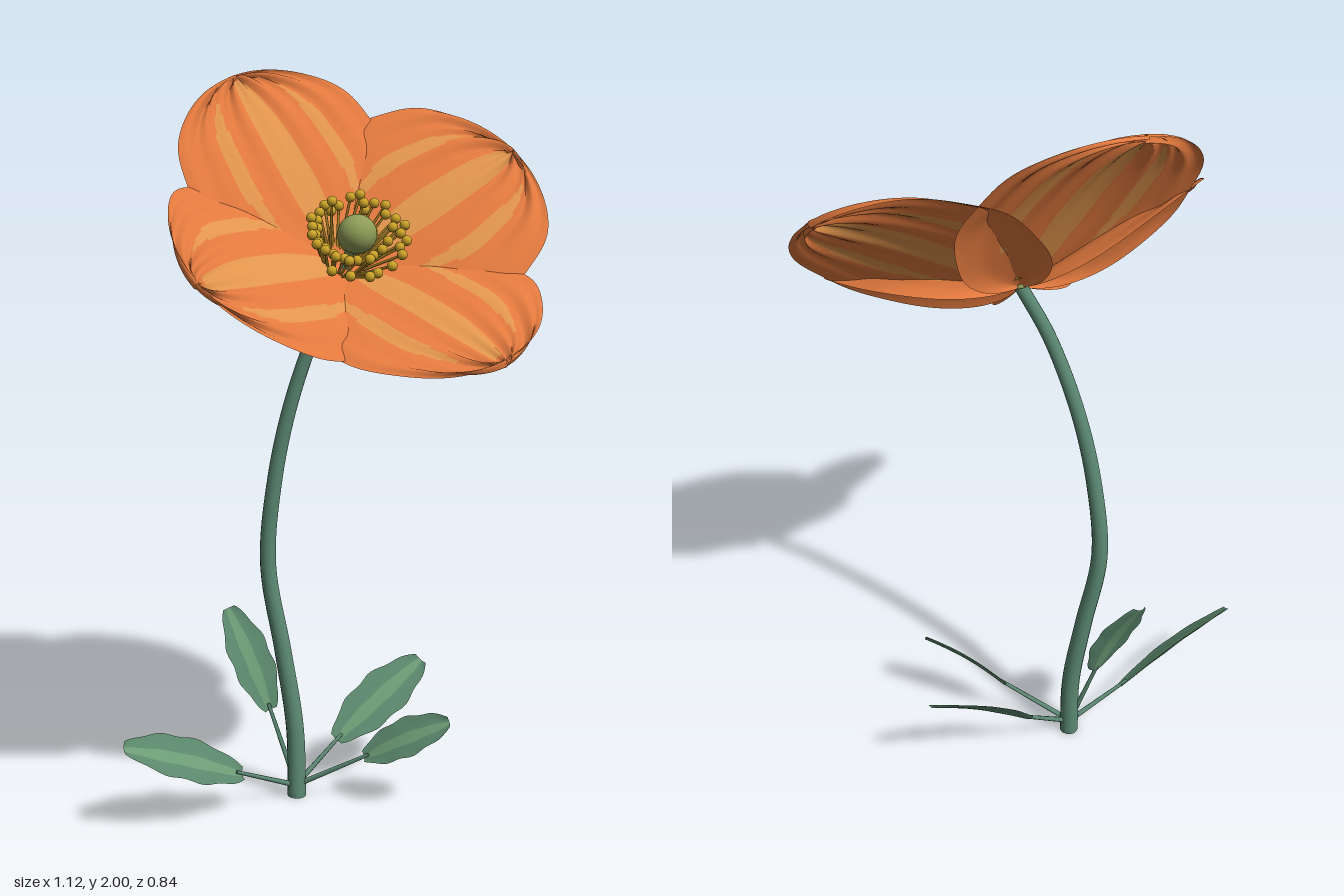
import * as THREE from 'three';

const V = (x, y, z) => new THREE.Vector3(x, y, z);
const mat = (name, color, side = THREE.FrontSide) => {
  const m = new THREE.MeshStandardMaterial({ color, side });
  m.name = name;
  return m;
};

// Grid surface: point(u, v) with u in 0..1 and v in -1..1; pick(u, v) chooses the material of a cell
function sheet(nu, nv, point, pick) {
  const pos = [], cells = [[], []];
  for (let i = 0; i <= nu; i++)
    for (let j = 0; j <= nv; j++) pos.push(...point(i / nu, (2 * j) / nv - 1).toArray());
  for (let i = 0; i < nu; i++)
    for (let j = 0; j < nv; j++) {
      const a = i * (nv + 1) + j, b = a + nv + 1;
      cells[pick((i + 0.5) / nu, (2 * j + 1) / nv - 1)].push(a, a + 1, b, a + 1, b + 1, b);
    }
  const g = new THREE.BufferGeometry();
  g.setAttribute('position', new THREE.Float32BufferAttribute(pos, 3));
  g.setIndex(cells[0].concat(cells[1]));
  g.addGroup(0, cells[0].length, 0);
  g.addGroup(cells[0].length, cells[1].length, 1);
  g.computeVertexNormals();
  return g;
}

export function createModel() {
  const root = new THREE.Group();
  root.name = 'flower';
  const petalMats = [mat('petalOrange', 0xe2793e, THREE.DoubleSide), mat('petalStreak', 0xe0944c, THREE.DoubleSide)];
  const leafMats = [mat('leafGreen', 0x5a876c, THREE.DoubleSide), mat('leafRib', 0x6b9b74, THREE.DoubleSide)];
  const stemMat = mat('stemGreen', 0x5c8a74);
  const antherMat = mat('antherGold', 0xcda428);
  const filamentMat = mat('filamentOchre', 0xba8f28);
  const pistilMat = mat('pistilOlive', 0x8f9c58);

  const add = (parent, name, geo, material) => {
    const m = new THREE.Mesh(geo, material);
    m.name = name;
    parent.add(m);
    return m;
  };
  // Tapered rod between two points
  const rod = (parent, name, a, b, r0, r1, material) => {
    const d = b.clone().sub(a);
    const m = add(parent, name, new THREE.CylinderGeometry(r1, r0, d.length(), 7), material);
    m.position.copy(a).add(b).multiplyScalar(0.5);
    m.quaternion.setFromUnitVectors(V(0, 1, 0), d.normalize());
  };

  // Curved stem, thinning towards the top
  const stemPath = new THREE.CatmullRomCurve3([
    V(-0.108, 0, -0.09), V(-0.113, 0.2, -0.097), V(-0.145, 0.42, -0.104), V(-0.185, 0.67, -0.108),
    V(-0.166, 0.9, -0.099), V(-0.12, 1.12, -0.09), V(-0.045, 1.34, -0.082), V(0.028, 1.495, -0.092),
  ]);
  const stemGeo = new THREE.TubeGeometry(stemPath, 48, 1, 14);
  const sp = stemGeo.attributes.position;
  for (let i = 0; i < sp.count; i++) {
    const t = Math.floor(i / 15) / 48, c = stemPath.getPointAt(t);
    const p = V(0, 0, 0).fromBufferAttribute(sp, i).sub(c).multiplyScalar(0.026 - 0.009 * t).add(c);
    sp.setXYZ(i, p.x, p.y, p.z);
  }
  add(root, 'stem', stemGeo, stemMat);
  const foot = add(root, 'stemFoot', new THREE.CylinderGeometry(0.026, 0.026, 0.008, 14), stemMat);
  foot.position.set(-0.108, 0.004, -0.09);

  // Leaves: base, tip, facing direction, half width
  const leaves = [
    [V(-0.25, 0.1, 0.0), V(-0.545, 0.25, 0.2), V(0.5, 0.75, 0.45), 0.07],
    [V(-0.18, 0.25, -0.1), V(-0.3, 0.53, -0.15), V(0.5, 0.3, 0.8), 0.062],
    [V(0.0, 0.13, -0.19), V(0.24, 0.315, -0.36), V(0.15, 0.76, 0.6), 0.07],
    [V(0.08, 0.13, -0.06), V(0.315, 0.25, -0.02), V(-0.45, 0.65, 0.65), 0.06],
  ];
  leaves.forEach(([base, tip, face, half], k) => {
    const g = new THREE.Group();
    g.name = 'leaf' + (k + 1);
    root.add(g);
    const dir = tip.clone().sub(base);
    const side = face.clone().cross(dir).normalize();
    const up = dir.clone().cross(side).normalize();
    const blade = sheet(28, 14, (u, v) => {
      const w = half * Math.pow(Math.sin(Math.PI * (0.04 + 0.92 * u)), 0.6) * (1 + 0.06 * Math.sin(u * 20 + k));
      const lift = 0.01 * Math.sin(Math.PI * u) + 0.008 * v * v - 0.006;
      return base.clone().addScaledVector(dir, u).addScaledVector(side, v * w).addScaledVector(up, lift);
    }, (u, v) => (Math.abs(v) < 0.24 ? 1 : 0));
    add(g, 'leafBlade', blade, leafMats);
    rod(g, 'leafStalk', V(-0.11, 0.03, -0.09), base.clone().addScaledVector(dir, 0.06), 0.008, 0.005, stemMat);
  });

  // Flower head: local y is the direction the bloom faces
  const head = new THREE.Group();
  head.name = 'bloom';
  const axis = V(0.29, 0.745, 0.6).normalize();
  const ex = V(0.77, 0.27, -0.71);
  ex.addScaledVector(axis, -ex.dot(axis)).normalize();
  head.quaternion.setFromRotationMatrix(new THREE.Matrix4().makeBasis(ex, axis, ex.clone().cross(axis)));
  head.position.set(0.025, 1.495, -0.1);
  root.add(head);

  // Four round petals; their lengthwise pleats and streaks meet again at the tip, side edges droop past each other
  for (let k = 0; k < 4; k++) {
    const petal = sheet(60, 80, (s, v) => {
      const u = (1 - Math.cos(Math.PI * s)) / 2;
      const x = 0.55 * u + 0.008 * u * u * Math.cos(v * 13 + k);
      const z = 0.328 * v * Math.sin(Math.PI * s) * (1 + 0.015 * Math.sin(u * 17 + k));
      const t = Math.hypot(x, z) / 0.55;
      const pleat = u * (0.004 * Math.cos(v * 15 + k * 2) + 0.006 * u * Math.sin(v * 27 + k));
      const droop = 0.24 * v * v * Math.sin(Math.PI * s) * (1 - s) ** 2;
      return V(x, 0.2 * Math.sin(1.3 * t) - droop + pleat, z);
    }, (s, v) => {
      const a = Math.abs(v);
      const middle = a < 0.16 && s > 0.2 && s < 0.88;
      const flank = s > 0.3 && s < 0.8 && Math.abs(a - 0.5) < 0.085 * Math.sin((Math.PI * (s - 0.3)) / 0.5);
      return middle || flank ? 1 : 0;
    });
    add(head, 'petal' + (k + 1), petal, petalMats).rotation.y = (k * Math.PI) / 2;
  }

  // Seed pod in the middle
  add(head, 'pistil', new THREE.SphereGeometry(0.052, 24, 16), pistilMat).position.y = 0.12;
  rod(head, 'pistilNeck', V(0, -0.005, 0), V(0, 0.09, 0), 0.012, 0.016, pistilMat);

  // Loose ring of stamens
  const stamens = new THREE.Group();
  stamens.name = 'stamens';
  stamens.position.x = -0.015;
  head.add(stamens);
  const antherGeo = new THREE.SphereGeometry(0.0138, 12, 8);
  for (let i = 0; i < 44; i++) {
    const a = i * 2.39996, r = 0.082 + 0.062 * ((i * 0.37) % 1), y = 0.095 + 0.06 * ((i * 0.61) % 1);
    const tip = V(r * Math.cos(a), y, r * Math.sin(a));
    rod(stamens, 'filament', V(0.05 * Math.cos(a), 0.015, 0.05 * Math.sin(a)), tip, 0.004, 0.0035, filamentMat);
    add(stamens, 'anther', antherGeo, antherMat).position.copy(tip);
  }
  return root;
}
